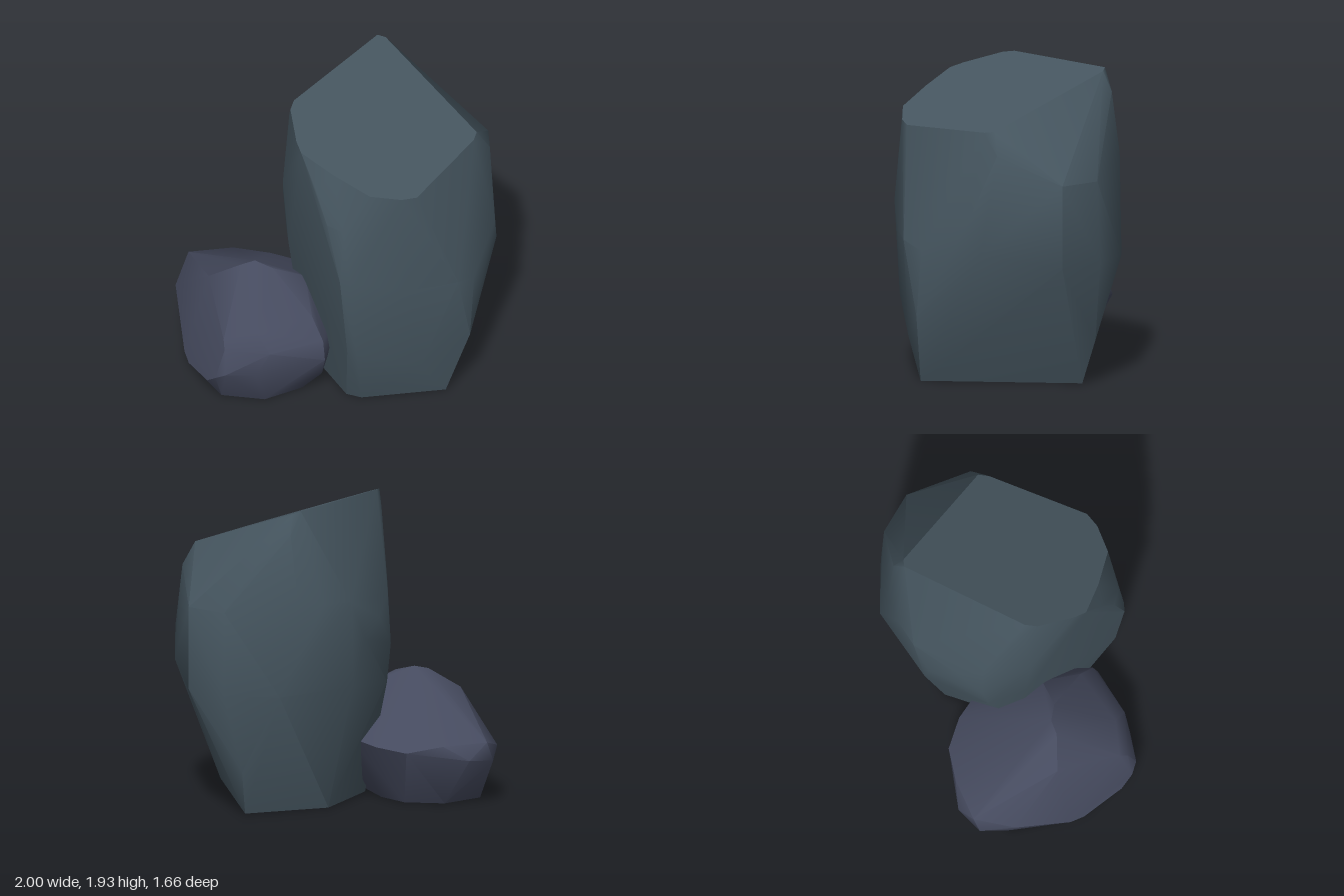
import * as THREE from 'three';
import { ConvexGeometry } from 'three/addons/geometries/ConvexGeometry.js';
import { toCreasedNormals } from 'three/addons/utils/BufferGeometryUtils.js';

// Faceted stone shell: the hull of its corner points, open underneath, softened except at hard breaks
function makeRock(name, corners, color) {
  const hull = new ConvexGeometry(corners.map((c) => new THREE.Vector3(...c))).getAttribute('position');
  const shell = [];
  for (let i = 0; i < hull.count; i += 3) {
    const onGround = Math.max(hull.getY(i), hull.getY(i + 1), hull.getY(i + 2)) < 0.001;
    if (!onGround) shell.push(...hull.array.slice(i * 3, i * 3 + 9));
  }
  const geometry = new THREE.BufferGeometry();
  geometry.setAttribute('position', new THREE.Float32BufferAttribute(shell, 3));
  const material = new THREE.MeshStandardMaterial({ color, side: THREE.DoubleSide });
  const mesh = new THREE.Mesh(toCreasedNormals(geometry, 0.65), material);
  mesh.name = name;
  return mesh;
}

// Adds a height to [x, z] outline points
const raise = (outline, height) => outline.map(([x, z]) => [x, height(x, z), z]);

export function createModel() {
  const group = new THREE.Group();
  group.name = 'rocks';

  // Tall rock: slanted flat top, bulging middle, narrower foot
  const slantedTop = raise([
    [0.1, -0.65], [0.15, -0.66], [0.85, -0.25], [0.85, -0.18], [0.66, 0.44], [0.58, 0.51],
    [0.4, 0.59], [0.15, 0.55], [-0.07, 0.49], [-0.12, 0.42], [-0.22, 0.2], [-0.22, 0.12],
  ], (x, z) => 1.86 - 0.331 * x - 0.156 * z);
  const tallFoot = raise([
    [0.8, 0.28], [0.45, -0.66], [-0.02, -0.39], [-0.15, 0.1], [0.22, 0.49], [0.32, 0.5],
  ], () => 0);
  const tallSides = [
    // left
    [0.92, 1.48, -0.3], [1.0, 1.05, -0.13], [0.985, 0.86, -0.22], [0.96, 0.85, 0.2], [0.9, 0.9, 0.35],
    [0.945, 0.43, 0.24],
    // back
    [0.15, 1.79, -0.72], [0.8, 1.3, -0.69], [0.8, 0.78, -0.69], [0.55, 1.3, -0.81], [0.55, 0.78, -0.83],
    [0.2, 0.78, -0.81], [0.1, 1.4, -0.75], [0.45, 0.28, -0.75],
    // right
    [-0.05, 1.35, -0.68], [-0.2, 1.35, -0.57], [-0.2, 0.8, -0.5], [-0.27, 1.1, -0.47], [-0.32, 1.2, -0.28],
    [-0.34, 1.32, -0.13], [-0.36, 1.0, -0.13], [-0.33, 0.75, -0.1], [-0.25, 1.8, 0.12], [-0.28, 1.3, 0.16],
    [-0.25, 0.8, 0.13],
    // front
    [0.05, 1.6, 0.575], [0.14, 1.4, 0.645], [0.25, 1.38, 0.665], [0.24, 1.02, 0.705], [0.3, 1.02, 0.695],
    [0.27, 0.44, 0.645], [0.33, 0.44, 0.645], [0.4, 1.0, 0.63], [0.62, 0.9, 0.52], [0.68, 0.25, 0.42],
  ];
  group.add(makeRock('tallRock', [...slantedTop, ...tallSides, ...tallFoot], 0x465660));

  // Small rock leaning on the tall one, with a flat cut at its front right
  const cutFace = raise([
    [-0.98, 0.12], [-0.7, 0.36], [-0.5, 0.73], [-0.48, 0.78], [-0.53, 0.81], [-0.6, 0.75], [-0.78, 0.53], [-0.83, 0.45],
  ], (x, z) => 0.33 + (0.238 * (x + 0.98) - 0.171 * (z - 0.12)) / 0.085);
  const smallCrown = [
    [-0.5, 0.745, 0.34], [-0.42, 0.765, 0.3], [-0.3, 0.735, 0.31], [-0.12, 0.65, 0.22],
    [-0.3, 0.51, 0.69], [-0.2, 0.4, 0.74],
  ];
  const smallSides = [
    // back
    [-1, 0.28, -0.1], [-0.97, 0.4, -0.14], [-0.88, 0.3, -0.24], [-0.72, 0.39, -0.27], [-0.63, 0.42, -0.19],
    [-0.5, 0.35, -0.33], [-0.3, 0.37, -0.28], [-0.1, 0.4, -0.16],
    // side buried in the tall rock
    [0.02, 0.42, 0.08], [0.07, 0.28, 0.05], [-0.01, 0.52, 0.45], [0.08, 0.4, 0.52],
    [0.1, 0.28, 0.55], [0.06, 0.12, 0.48],
    // front
    [-0.1, 0.28, 0.67], [-0.28, 0.25, 0.78], [-0.46, 0.25, 0.83],
  ];
  const smallFoot = raise([
    [-0.88, 0.08], [-0.75, 0.45], [-0.52, 0.71], [-0.25, 0.68], [-0.06, 0.5], [-0.03, 0.34],
    [-0.28, -0.03], [-0.45, -0.15], [-0.7, -0.13],
  ], () => 0);
  group.add(makeRock('smallRock', [...cutFace, ...smallCrown, ...smallSides, ...smallFoot], 0x454a5e));

  return group;
}
